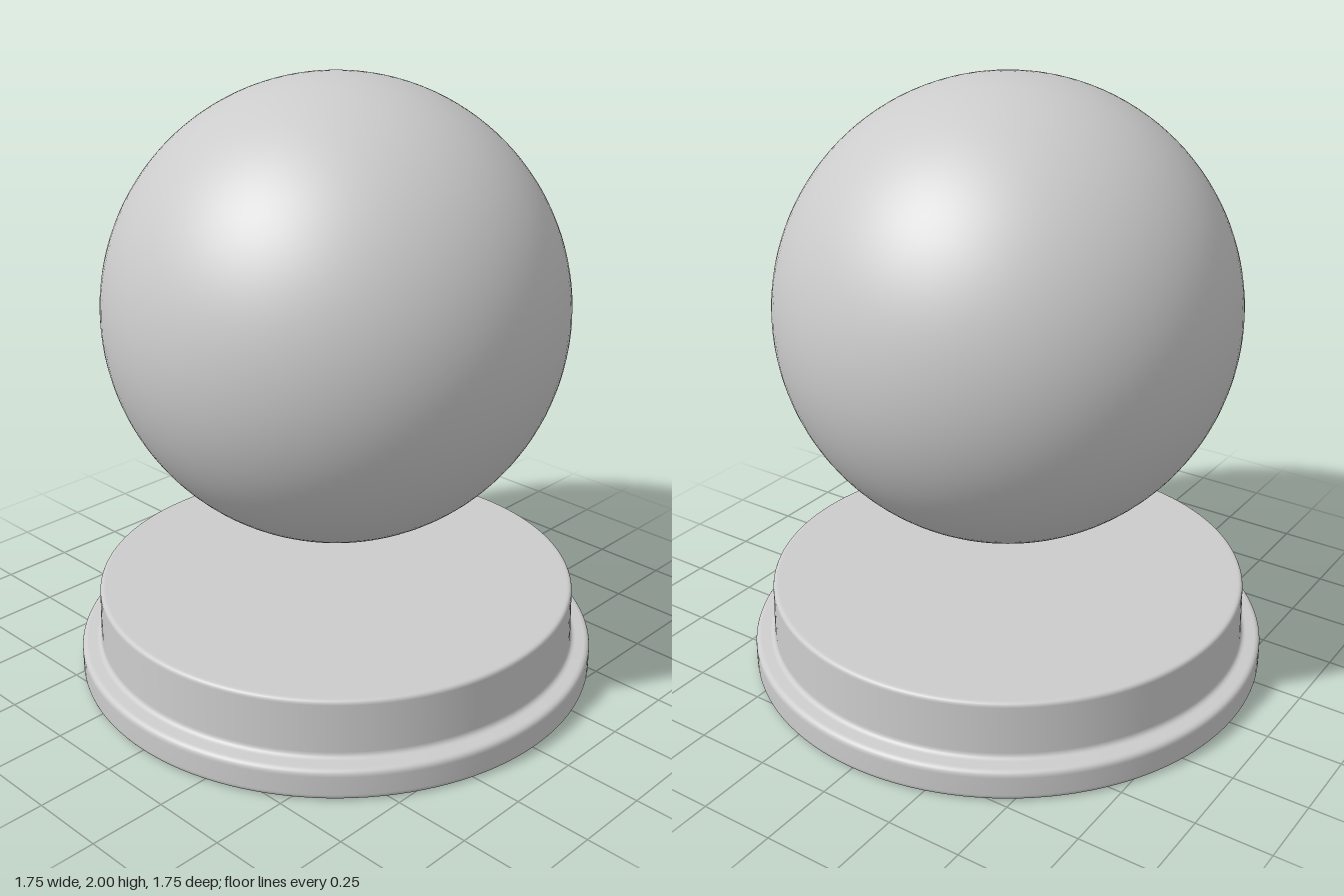
import * as THREE from 'three';

export function createModel() {
  const group = new THREE.Group();
  const material = new THREE.MeshStandardMaterial({ color: 0xcccccc });

  // Floating ball
  const ball = new THREE.Mesh(new THREE.SphereGeometry(0.75, 96, 64), material);
  ball.name = 'ball';
  ball.position.y = 1.25;
  group.add(ball);

  // Round pedestal: rounded foot rim, small cove, slightly tapered drum, flat top
  const profile = new THREE.Path();
  profile.moveTo(0, 0);
  profile.lineTo(0.845, 0);
  profile.lineTo(0.853, 0);
  profile.quadraticCurveTo(0.873, 0, 0.873, 0.02);
  profile.lineTo(0.873, 0.082);
  profile.quadraticCurveTo(0.873, 0.102, 0.853, 0.104);
  profile.lineTo(0.825, 0.106);
  profile.quadraticCurveTo(0.808, 0.108, 0.807, 0.125);
  profile.lineTo(0.803, 0.285);
  profile.quadraticCurveTo(0.802, 0.3, 0.787, 0.3);
  profile.lineTo(0.78, 0.3);
  profile.lineTo(0, 0.3);
  const base = new THREE.Mesh(new THREE.LatheGeometry(profile.getPoints(6), 128), material);
  base.name = 'pedestal';
  group.add(base);

  return group;
}
